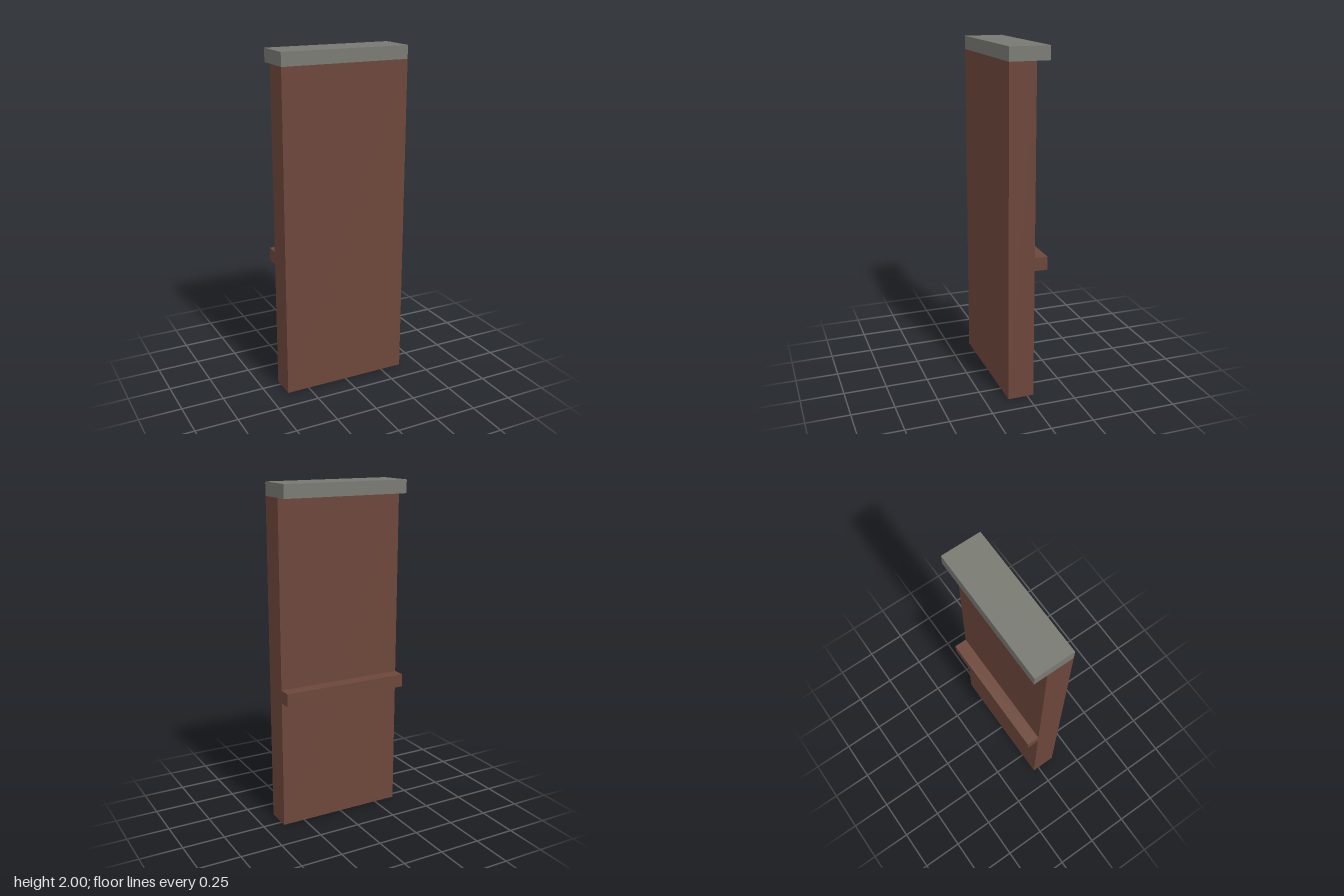
import * as THREE from 'three';

const U = 2 / 26; // module: 26 high, 10 wide, 3 deep

export function createModel() {
  const group = new THREE.Group();
  const brown = new THREE.MeshStandardMaterial({ name: 'brown', color: 0x6c463a });
  const grey = new THREE.MeshStandardMaterial({ name: 'grey', color: 0x787971 });

  // Full-width block spanning y0..y1 and z0..z1, in modules
  const slab = (name, material, y0, y1, z0, z1) => {
    const mesh = new THREE.Mesh(
      new THREE.BoxGeometry(10 * U, (y1 - y0) * U, (z1 - z0) * U), material);
    mesh.position.set(0, (y0 + y1) / 2 * U, (z0 + z1) / 2 * U);
    mesh.name = name;
    group.add(mesh);
  };

  // Door panel, with the bar across its back and the cap on top
  slab('panel', brown, 0, 25, -0.5, 1.5);
  slab('backBar', brown, 10, 11, -1.5, -0.5);
  slab('topCap', grey, 25, 26, -1.5, 1.5);

  return group;
}
